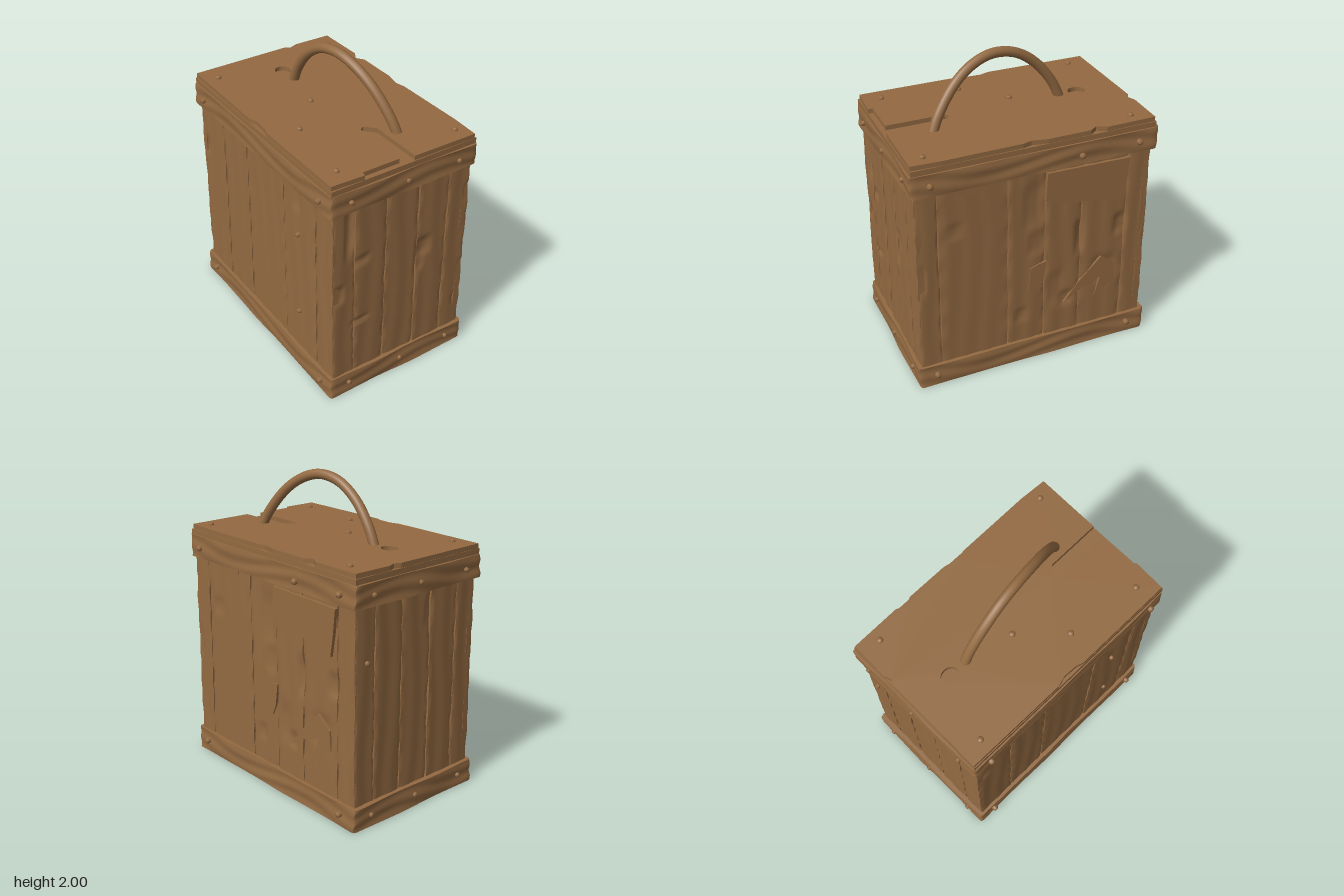
import * as THREE from 'three';

const wood = new THREE.MeshStandardMaterial({ color: 0x936a42 });
wood.name = 'brown wood';

function add(parent, name, geometry, x = 0, y = 0, z = 0) {
  const mesh = new THREE.Mesh(geometry, wood);
  mesh.name = name;
  mesh.position.set(x, y, z);
  parent.add(mesh);
  return mesh;
}

// Move every vertex by a rule, then rebuild the normals
function warp(geometry, rule) {
  const p = geometry.attributes.position;
  const v = new THREE.Vector3();
  for (let i = 0; i < p.count; i++) {
    v.fromBufferAttribute(p, i);
    rule(v);
    p.setXYZ(i, v.x, v.y, v.z);
  }
  geometry.computeVertexNormals();
  return geometry;
}

// Long wood grain running along t
const grain = (t, h) =>
  0.003 * Math.sin(h * 70 + 2.5 * Math.sin(t * 5 + h * 3)) + 0.003 * Math.sin(t * 9 + h * 18);

// A solid band of rough timber around the box
function band(parent, name, w, h, d, y) {
  const geo = new THREE.BoxGeometry(w, h, d, 44, 10, 64);
  warp(geo, (v) => {
    const { x, z } = v;
    const edgeX = Math.abs(x) > w / 2 - 1e-4;
    const edgeZ = Math.abs(z) > d / 2 - 1e-4;
    const corner = edgeX && edgeZ ? 0.006 : 0;
    if (edgeX) v.x -= Math.sign(x) * (0.005 + corner + grain(z, v.y));
    if (edgeZ) v.z -= Math.sign(z) * (0.005 + corner + grain(x + 2, v.y));
  });
  add(parent, name, geo, 0, y + h / 2, 0);
}

// One wall of upright planks; dents are [u, y, half width, half height, depth]
function wall(parent, name, edges, dents, angle, distance) {
  const group = new THREE.Group();
  group.name = name;
  group.rotation.y = angle;
  group.position.set(Math.sin(angle) * distance, 0, Math.cos(angle) * distance);
  parent.add(group);
  for (let i = 0; i < edges.length - 1; i++) {
    const w = edges[i + 1] - edges[i] - 0.006;
    const mid = (edges[i] + edges[i + 1]) / 2;
    const geo = new THREE.BoxGeometry(w, 1.28, 0.05, 14, 70, 1);
    geo.translate(mid, 0.77, -0.025);
    warp(geo, (v) => {
      const { x, y } = v;
      if (v.z > -0.01) {
        v.z -= 0.003 + 0.003 * ((i * 7) % 3) / 2 + 0.002 * Math.sin(x * 45 + Math.sin(y * 4 + i));
        for (const [u, h, ru, rh, depth] of dents) {
          const q = ((x - u) / ru) ** 4 + ((y - h) / rh) ** 4;
          v.z -= depth * Math.exp(-q);
        }
        // worn outer edges
        if (Math.abs(x - mid) > w / 2 - 1e-4) v.z -= 0.004 + 0.003 * Math.sin(y * 31 + i * 2);
      }
      v.x += 0.0025 * Math.sin(y * 11 + i * 2.1);
    });
    add(group, 'plank', geo);
  }
  return group;
}

const polygon = (points) => new THREE.Shape(points.map(([x, y]) => new THREE.Vector2(x, y)));

// Nail with a domed head, pointing along dir
function nail(parent, x, y, z, dir, r = 0.02) {
  const profile = [[0.95, -0.8], [1, 0.4], [0.75, 0.85], [0, 1]];
  const geo = new THREE.LatheGeometry(profile.map(([a, b]) => new THREE.Vector2(a * r, b * r)), 10);
  const mesh = add(parent, 'nail', geo, x, y, z);
  mesh.quaternion.setFromUnitVectors(new THREE.Vector3(0, 1, 0), new THREE.Vector3(...dir));
}

export function createModel() {
  const model = new THREE.Group();
  model.name = 'woodenBox';

  // Base, inner body and rim
  add(model, 'innerBody', new THREE.BoxGeometry(0.93, 1.3, 1.49), 0, 0.76, 0.003);
  band(model, 'bottomBand', 1.05, 0.15, 1.61, 0);
  band(model, 'topBand', 1.055, 0.145, 1.61, 1.39);

  // Plank walls
  const ends = [-0.5, -0.34, -0.115, 0.12, 0.34, 0.5];
  wall(model, 'frontWall', ends, [
    [-0.38, 1.24, 0.03, 0.17, 0.025], [-0.29, 1.0, 0.05, 0.03, 0.012],
    [-0.3, 0.54, 0.06, 0.02, 0.012], [-0.46, 0.8, 0.04, 0.06, 0.015],
    [0.17, 0.91, 0.05, 0.06, 0.015], [0.14, 0.8, 0.03, 0.07, 0.012],
    [0.5, 0.6, 0.03, 0.06, 0.015], [0.5, 1.2, 0.03, 0.05, 0.012], [0.48, 0.36, 0.04, 0.04, 0.012],
  ], 0, 0.785);
  wall(model, 'backWall', ends.map((x) => -x).reverse(), [[0.1, 1.25, 0.03, 0.1, 0.008]], Math.PI, 0.775);
  const side = wall(model, 'leftWall', [-0.782, -0.64, -0.19, 0.06, 0.31, 0.62, 0.772], [
    [-0.02, 1.15, 0.06, 0.16, 0.014], [0.0, 0.88, 0.05, 0.08, 0.01],
    [0.14, 0.5, 0.05, 0.12, 0.01], [0.3, 0.85, 0.03, 0.12, 0.018],
    [0.48, 0.55, 0.08, 0.1, 0.014], [0.59, 0.88, 0.04, 0.07, 0.016],
    [0.22, 0.4, 0.04, 0.05, 0.012], [-0.54, 1.1, 0.04, 0.05, 0.008],
    [-0.1, 0.35, 0.04, 0.05, 0.008], [-0.76, 0.8, 0.03, 0.09, 0.01],
  ], Math.PI / 2, 0.502);
  wall(model, 'rightWall', [-0.772, -0.48, -0.18, 0.25, 0.6, 0.782], [
    [0.4, 1.3, 0.03, 0.08, 0.012], [-0.72, 1.1, 0.04, 0.06, 0.01],
  ], -Math.PI / 2, 0.502);

  // Repair board and splinters on the damaged wall
  const scraps = {
    repairBoard: [[0.06, 1.37], [0.05, 1.18], [0.3, 1.12], [0.58, 1.06], [0.6, 1.18], [0.62, 1.36]],
    topSplinter: [[-0.57, 1.39], [-0.46, 1.325], [-0.31, 1.36], [-0.3, 1.39]],
    middleSplinter: [[-0.04, 0.7], [-0.05, 0.54], [0.02, 0.51], [0.05, 0.58], [0.07, 0.73], [0.01, 0.72]],
    lowerSplinter: [[0.2, 0.37], [0.3, 0.5], [0.46, 0.66], [0.56, 0.58], [0.57, 0.45], [0.42, 0.36], [0.46, 0.5], [0.33, 0.45]],
  };
  for (const [name, points] of Object.entries(scraps)) {
    const depth = name === 'repairBoard' ? 0.026 : 0.014;
    add(side, name, new THREE.ExtrudeGeometry(polygon(points), { depth, bevelEnabled: false }), 0, 0, -0.012);
  }

  // Lid: a lower layer, and an upper layer with a missing plank, worn rim and empty handle hole
  add(model, 'lidBase', new THREE.BoxGeometry(1.025, 0.04, 1.58), 0, 1.55, 0.002);
  const top = polygon([
    [-0.51, -0.78], [-0.29, -0.79], [-0.285, -0.76], [-0.03, -0.76], [-0.03, -0.38], [0.0, -0.36],
    [0.06, -0.42], [0.062, -0.785], [0.5, -0.79], [0.51, -0.6], [0.505, -0.1], [0.49, -0.04], [0.51, 0.06],
    [0.51, 0.34], [0.475, 0.39], [0.51, 0.45], [0.505, 0.78], [0.25, 0.785], [0.2, 0.765], [0.16, 0.785],
    [-0.505, 0.785], [-0.51, 0.1], [-0.49, 0.04], [-0.495, -0.06], [-0.51, -0.1],
  ]);
  const hole = new THREE.Path();
  hole.absellipse(-0.02, 0.51, 0.05, 0.058, 0, Math.PI * 2, true);
  top.holes.push(hole);
  const lid = new THREE.ExtrudeGeometry(top, { depth: 0.034, bevelEnabled: false, curveSegments: 16 });
  lid.rotateX(-Math.PI / 2);
  add(model, 'lidTop', lid, 0, 1.566, 0);

  // Bent rod handle
  const path = new THREE.CatmullRomCurve3([
    [0.14, 1.56, 0.53], [0.115, 1.68, 0.475], [0.07, 1.84, 0.35], [0.035, 1.93, 0.22], [0.01, 1.967, 0.08],
    [-0.006, 1.942, -0.07], [-0.015, 1.85, -0.21], [-0.015, 1.7, -0.33], [-0.015, 1.56, -0.395],
  ].map((p) => new THREE.Vector3(...p)));
  add(model, 'handle', new THREE.TubeGeometry(path, 64, 0.032, 14));

  // Nails on the bands
  for (const s of [-1, 1]) {
    for (const y of [0.08, 1.46]) {
      for (const z of [-0.67, 0.685]) nail(model, s * 0.528, y, z, [s, 0, 0]);
      for (const x of [-0.385, 0.01, 0.385]) nail(model, x, y, s * 0.803, [0, 0, s], 0.016);
    }
  }
  nail(model, 0.528, 1.45, -0.28, [1, 0, 0]);
  // Nails on the walls and lid
  nail(model, 0.41, 1.05, -0.778, [0, 0, -1], 0.016);
  nail(model, -0.504, 1.05, 0.42, [-1, 0, 0], 0.016);
  nail(model, -0.504, 0.45, 0.42, [-1, 0, 0], 0.016);
  for (const [x, z] of [[-0.42, -0.65], [0.43, -0.65], [-0.4, 0.67], [0.43, 0.69], [-0.33, 0.18], [-0.09, -0.07]])
    nail(model, x, 1.598, z, [0, 1, 0], 0.02);

  return model;
}
